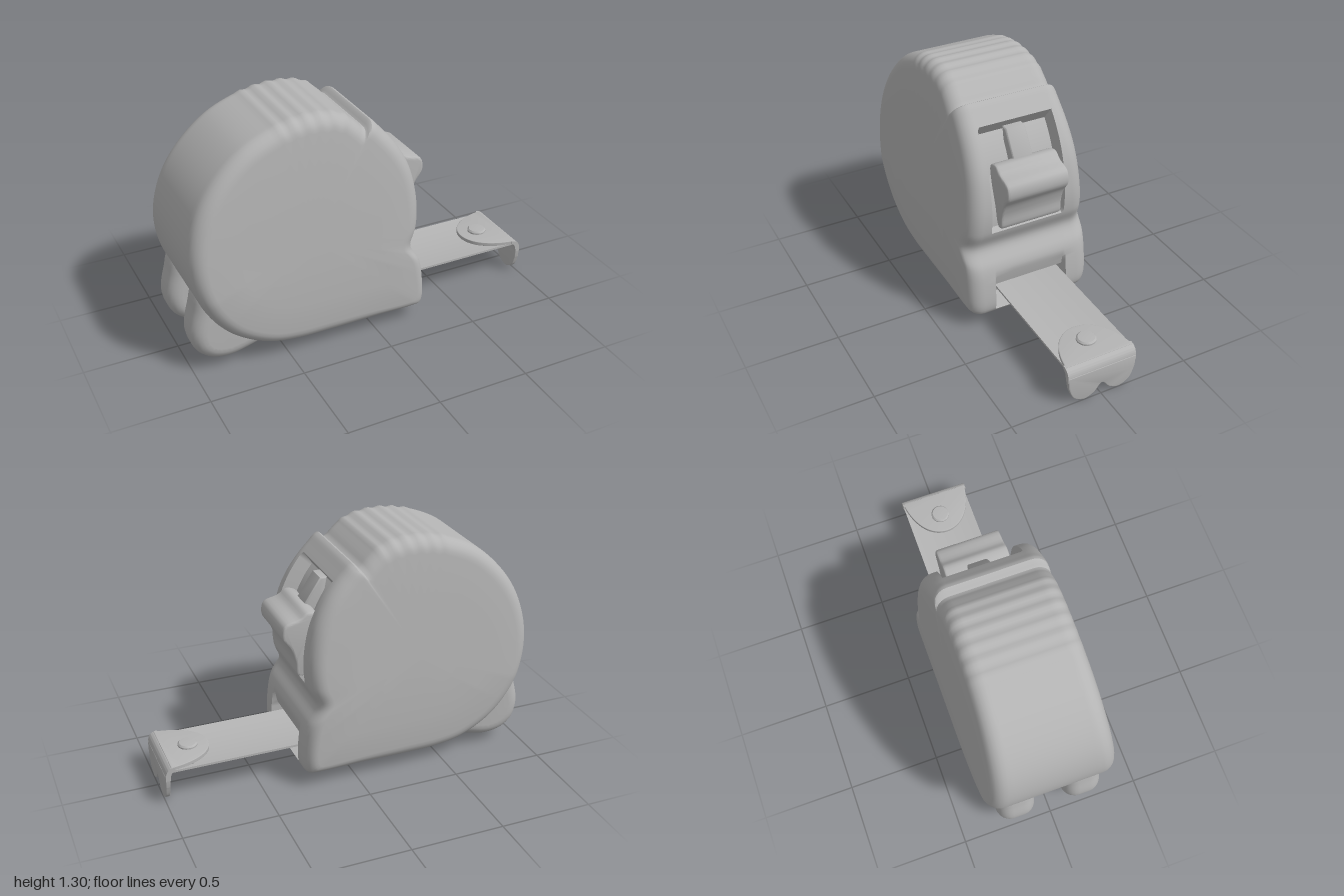
import * as THREE from 'three';
import { toCreasedNormals } from 'three/addons/utils/BufferGeometryUtils.js';

const grey = new THREE.MeshStandardMaterial({ color: 0xb4b4b4 });
grey.name = 'grey';

const CENTRE = new THREE.Vector2(-0.35, 0.65);
const EDGE = 0.08; // rounding between side faces and rim

// Case outline, counter-clockwise from the lower front corner
const OUTLINE = [
  [0.275, 0.082], [0.29, 0.12], [0.285, 0.26], [0.265, 0.36], [0.213, 0.457], [0.245, 0.56],
  [0.253, 0.7], [0.22, 0.885], [0.155, 1.02], [0.06, 1.14], [0, 1.195], [-0.035, 1.165],
  [-0.08, 1.205], [-0.14, 1.255], [-0.2, 1.278], [-0.31, 1.292], [-0.42, 1.283], [-0.53, 1.255],
  [-0.69, 1.18], [-0.85, 1.03], [-0.945, 0.87], [-0.99, 0.68], [-0.975, 0.5], [-0.91, 0.34],
  [-0.79, 0.2], [-0.62, 0.105], [-0.47, 0.075], [-0.26, 0.07], [0, 0.074], [0.24, 0.076],
];

// Half width of the case, narrowing towards the top
const halfWidth = (y) => 0.356 - 0.055 * Math.max(0, y - 0.42) / 0.73;

function caseGeometry() {
  const curve = new THREE.CatmullRomCurve3(
    OUTLINE.map(([x, y]) => new THREE.Vector3(x, y, 0)), true, 'centripetal');
  curve.arcLengthDivisions = 1000;
  const N = 260;
  const rim = curve.getSpacedPoints(N).slice(0, N).map((p) => {
    // Finger ribs on the top grip
    if (p.y > 1.1 && p.x < -0.12 && p.x > -0.52) p.y += 0.005 * Math.sin(p.x * 85);
    return new THREE.Vector2(p.x, p.y);
  });

  // Rows from the centre of one side face, across the rim, to the other
  const rows = [0, 0.35, 0.7].map((s) => ({ s, inset: EDGE, side: 1, drop: 0 }));
  for (let k = 0; k <= 6; k++) {
    const a = (k / 6) * Math.PI / 2;
    rows.push({ s: 1, inset: EDGE * (1 - Math.sin(a)), side: 1, drop: EDGE * (1 - Math.cos(a)) });
  }
  const back = rows.map((r) => ({ ...r, side: -1 })).reverse();
  const middle = [0.212, 0.2, 0.1, 0, -0.1, -0.2, -0.212].map((z) => ({ s: 1, inset: 0, z }));
  const all = [...rows, ...middle, ...back];

  const pos = [], index = [];
  for (const row of all) {
    for (const p of rim) {
      const dir = CENTRE.clone().sub(p).normalize();
      const q = p.clone().addScaledVector(dir, row.inset);
      q.lerpVectors(CENTRE, q, row.s);
      let z = row.z;
      if (z === undefined) z = row.side * (halfWidth(row.s < 1 ? q.y : p.y) - row.drop);
      else if (Math.abs(z) < 0.205) {
        // Pocket behind the lock button, and mouth for the blade
        if (p.x > 0.05 && p.y > 0.57 && p.y < 1.1) q.addScaledVector(dir, 0.03 + 0.05 * Math.min(1, (p.y - 0.57) / 0.3));
        if (p.x > 0.2 && p.y > 0.1 && p.y < 0.235) q.x -= 0.13;
        else if (p.x > 0.2 && p.y >= 0.235 && p.y < 0.33) q.x -= 0.03 * (0.33 - p.y) / 0.095;
      }
      pos.push(q.x, q.y, z);
    }
  }
  for (let j = 0; j < all.length - 1; j++) {
    for (let i = 0; i < N; i++) {
      const n = (i + 1) % N;
      const a = j * N + i, b = a + N, c = (j + 1) * N + n, d = j * N + n;
      index.push(a, b, c, a, c, d);
    }
  }
  const g = new THREE.BufferGeometry();
  g.setAttribute('position', new THREE.Float32BufferAttribute(pos, 3));
  g.setIndex(index);
  return toCreasedNormals(g, 0.7);
}

// Rounded slab: a shape extruded to a depth centred on z = 0
function slab(shape, depth, bevel, crease = 0.7, segments = 3) {
  const g = new THREE.ExtrudeGeometry(shape, {
    depth: depth - 2 * bevel, bevelEnabled: bevel > 0, bevelSize: bevel, bevelThickness: bevel,
    bevelOffset: -bevel, bevelSegments: segments, curveSegments: 20,
  });
  g.translate(0, 0, -depth / 2 + bevel);
  return toCreasedNormals(g, crease);
}

const vecs = (pts) => pts.map(([x, y]) => new THREE.Vector2(x, y));

// Closed smooth shape through a few points
function smoothShape(pts, divisions = 48) {
  const c = new THREE.CatmullRomCurve3(pts.map(([x, y]) => new THREE.Vector3(x, y, 0)), true);
  return new THREE.Shape(c.getPoints(divisions).slice(0, divisions).map((p) => new THREE.Vector2(p.x, p.y)));
}

export function createModel() {
  const model = new THREE.Group();
  model.name = 'tapeMeasure';
  const add = (name, geometry, parent = model) => {
    const m = new THREE.Mesh(geometry, grey);
    m.name = name;
    parent.add(m);
    return m;
  };

  add('case', caseGeometry());

  // Rear feet
  const foot = smoothShape([
    [-0.93, 0.47], [-0.975, 0.35], [-1, 0.22], [-0.975, 0.125], [-0.91, 0.066], [-0.82, 0.045],
    [-0.72, 0.06], [-0.61, 0.11], [-0.62, 0.25], [-0.76, 0.42],
  ]);
  const footGeometry = slab(foot, 0.21, 0.075, 1.1, 6);
  for (const side of [1, -1]) add(side > 0 ? 'frontFoot' : 'backFoot', footGeometry).position.z = side * 0.187;

  // Lock button with its finger ridge, and the stem above it
  const button = smoothShape([
    [0.15, 0.91], [0.21, 0.934], [0.255, 0.905], [0.335, 0.878], [0.347, 0.81], [0.305, 0.745],
    [0.28, 0.67], [0.27, 0.592], [0.235, 0.588], [0.2, 0.7], [0.16, 0.82],
  ]);
  add('lockButton', slab(button, 0.35, 0.012)).position.z = -0.003;
  const stem = new THREE.Shape(vecs([[0.06, 1.06], [0.1, 1.06], [0.185, 0.93], [0.185, 0.85], [0.1, 0.85]]));
  add('buttonStem', slab(stem, 0.113, 0.01));

  // Blade, slightly dished across its width
  const blade = new THREE.BoxGeometry(0.87, 0.012, 0.376, 1, 1, 12);
  const bp = blade.attributes.position;
  for (let i = 0; i < bp.count; i++) bp.setY(i, bp.getY(i) + 0.014 * (bp.getZ(i) / 0.19) ** 2);
  blade.translate(0.535, 0.177, -0.01);
  add('blade', toCreasedNormals(blade, 0.6));

  // End hook: rounded top plate, bend, two-pronged lip and rivet
  const hook = new THREE.Group();
  hook.name = 'endHook';
  hook.position.z = -0.005;
  model.add(hook);
  const plate = new THREE.Shape();
  plate.moveTo(0.965, -0.19);
  plate.lineTo(0.965, 0.19);
  plate.bezierCurveTo(0.85, 0.18, 0.72, 0.12, 0.718, 0);
  plate.bezierCurveTo(0.72, -0.12, 0.85, -0.18, 0.965, -0.19);
  add('hookPlate', slab(plate, 0.022, 0.004).rotateX(-Math.PI / 2), hook).position.y = 0.203;

  const bend = new THREE.Shape();
  bend.moveTo(0.945, 0.214);
  bend.lineTo(0.945, 0.194);
  bend.quadraticCurveTo(0.97, 0.194, 0.973, 0.14);
  bend.lineTo(0.998, 0.14);
  bend.quadraticCurveTo(1.0, 0.214, 0.945, 0.214);
  add('hookBend', slab(bend, 0.388, 0), hook);

  const lip = new THREE.Shape();
  lip.moveTo(-0.194, 0.165);
  lip.lineTo(-0.19, 0.1);
  lip.splineThru(vecs([[-0.16, 0.03], [-0.1, 0], [-0.045, 0.02], [0, 0.065], [0.045, 0.02],
    [0.1, 0], [0.16, 0.03], [0.19, 0.1]]));
  lip.lineTo(0.194, 0.165);
  add('hookLip', slab(lip, 0.025, 0.005).rotateY(Math.PI / 2), hook).position.x = 0.9865;

  const rivet = new THREE.LatheGeometry(vecs([[0.052, 0], [0.052, 0.012], [0.044, 0.02], [0, 0.023]]), 28);
  add('rivet', toCreasedNormals(rivet, 0.7), hook).position.set(0.83, 0.21, -0.005);

  return model;
}
